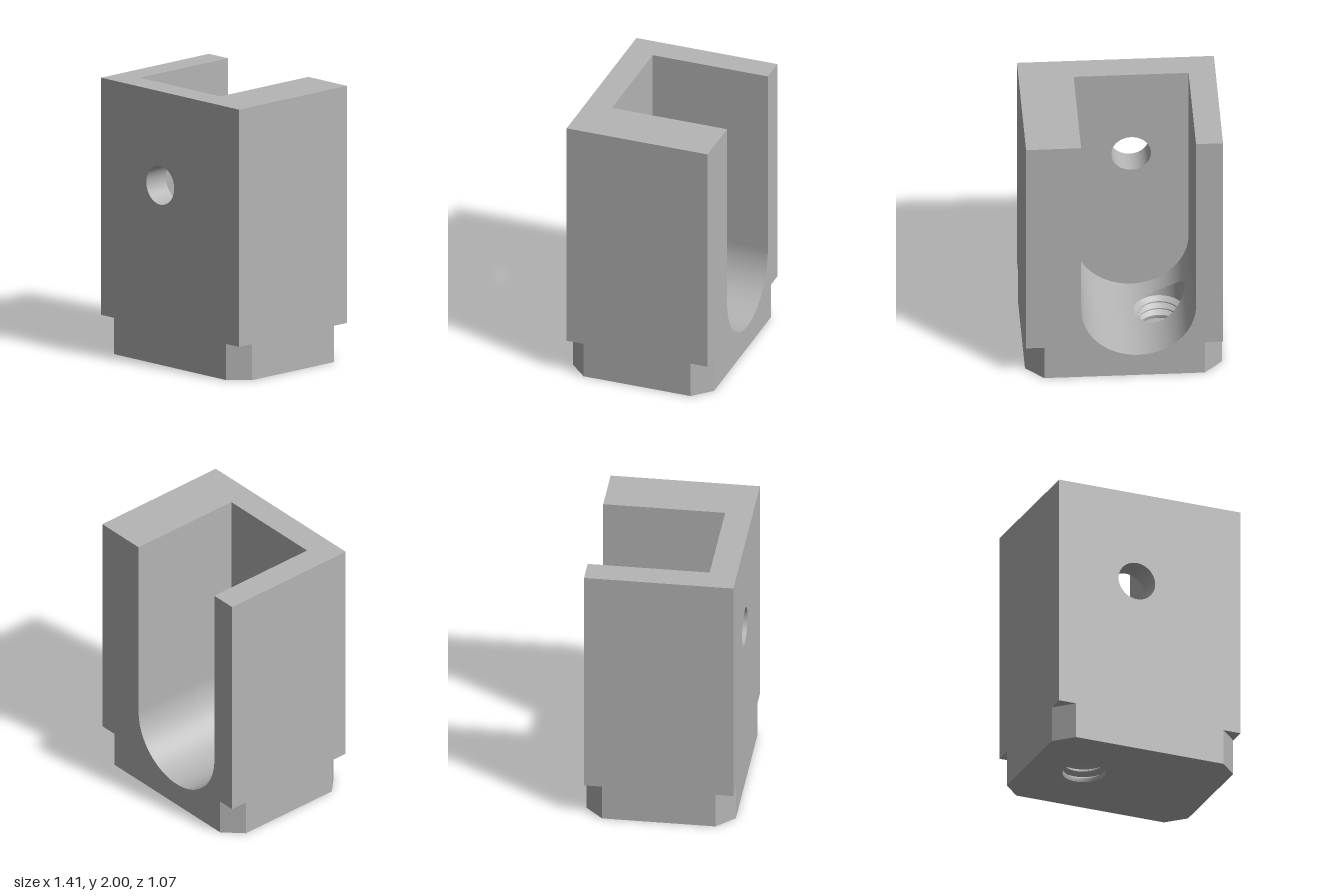
import * as THREE from 'three';
import { toCreasedNormals } from 'three/addons/utils/BufferGeometryUtils.js';

// Overall block
const W = 0.703, D = 0.537, H = 2;
const CUT = 0.13, CUT_H = 0.265;                 // corner notches at the foot
const SX = -0.1, SR = 0.41, SY = 0.585, SZ = 0.34; // round-bottomed slot
const BX = -0.28, BR = 0.185, B_MINOR = 0.147;   // threaded bore
const SEAT = SY - SR;                            // height of the bore's upper rim
const SEG = 48;

const floorY = x => SY - Math.sqrt(Math.max(0, SR * SR - (x - SX) ** 2));

function rectShape(x0, y0, x1, y1) {
  return new THREE.Shape([[x0, y0], [x1, y0], [x1, y1], [x0, y1]].map(p => new THREE.Vector2(...p)));
}

function circleHole(x, y, r) {
  return new THREE.Path().absarc(x, y, r, 0, Math.PI * 2, true);
}

function meshGeometry(positions, indices) {
  const g = new THREE.BufferGeometry();
  g.setAttribute('position', new THREE.Float32BufferAttribute(positions, 3));
  g.setIndex(indices);
  g.computeVertexNormals();
  return g;
}

// Curved slot floor, made of columns that stop at the rim of the bore
function slotFloorGeometry() {
  const xs = [];
  for (let i = 0; i <= 64; i++) {
    const x = SX - SR * Math.cos(Math.PI * i / 64);
    if (Math.abs(x - BX) > BR + 0.002) xs.push(x);
  }
  for (let i = 0; i <= SEG / 2; i++) xs.push(BX - BR * Math.cos(Math.PI * 2 * i / SEG));
  xs.sort((a, b) => a - b);

  const pos = [], idx = [];
  xs.forEach((x, i) => {
    const half = Math.sqrt(Math.max(0, BR * BR - (x - BX) ** 2));
    for (const z of [-D, -half, half, SZ]) pos.push(x, floorY(x), z);
    if (i === 0) return;
    for (const k of [0, 2]) {
      const a = (i - 1) * 4 + k, c = i * 4 + k;
      idx.push(a, a + 1, c, a + 1, c + 1, c);
    }
  });
  return meshGeometry(pos, idx);
}

// Plain wall of the bore between its thread and the curved floor
function boreRimGeometry() {
  const pos = [], idx = [];
  for (let i = 0; i <= SEG; i++) {
    const t = Math.PI * 2 * i / SEG;
    const x = BX + BR * Math.cos(t), z = BR * Math.sin(t);
    pos.push(x, SEAT, z, x, Math.max(SEAT, floorY(x)), z);
    if (i < SEG) {
      const a = i * 2;
      idx.push(a, a + 2, a + 1, a + 2, a + 3, a + 1);
    }
  }
  return meshGeometry(pos, idx);
}

// Ridged thread, listed from top to bottom so that it faces inward
function threadGeometry() {
  const profile = [
    [BR, SEAT], [B_MINOR, 0.15], [B_MINOR, 0.14], [BR, 0.115], [B_MINOR, 0.09],
    [B_MINOR, 0.08], [BR, 0.055], [B_MINOR, 0.03], [B_MINOR, 0.02], [0.153, 0],
  ].map(p => new THREE.Vector2(...p));
  return toCreasedNormals(new THREE.LatheGeometry(profile, SEG), 0.4);
}

export function createModel() {
  const group = new THREE.Group();
  const grey = new THREE.MeshStandardMaterial({ color: 0xb5b5b5 });
  grey.name = 'machinedGrey';

  function add(name, geometry) {
    const mesh = new THREE.Mesh(geometry, grey);
    mesh.name = name;
    group.add(mesh);
    return mesh;
  }
  function block(name, x0, x1, y0, y1, z0, z1) {
    add(name, new THREE.BoxGeometry(x1 - x0, y1 - y0, z1 - z0))
      .position.set((x0 + x1) / 2, (y0 + y1) / 2, (z0 + z1) / 2);
  }

  // Front plate with its round cross hole
  const plate = rectShape(-W, CUT_H, W, H);
  plate.holes.push(circleHole(SX, 1.313, 0.142));
  const plateGeo = new THREE.ExtrudeGeometry(plate, { depth: D - SZ, bevelEnabled: false, curveSegments: 32 });
  add('frontPlate', toCreasedNormals(plateGeo, 0.5)).position.z = SZ;

  // Upright walls either side of the slot
  const inner = W - CUT;
  block('leftWall', SX + SR, W, SY, H, -D, SZ);
  block('rightWall', -W, SX - SR, SY, H, -D, SZ);

  // Lower body: side bands, notched feet and front skirt
  block('frontSkirt', -inner, inner, 0, CUT_H, SZ, D);
  for (const s of [1, -1]) {
    const side = s > 0 ? 'left' : 'right';
    block(side + 'Band', s > 0 ? inner : -W, s > 0 ? W : -inner, CUT_H, SY, -D, SZ);
    const foot = new THREE.Shape([
      [s * inner, -D], [s * W, -D + CUT], [s * W, D - CUT], [s * inner, D],
    ].map(p => new THREE.Vector2(...p)));
    const footGeo = new THREE.ExtrudeGeometry(foot, { depth: CUT_H, bevelEnabled: false });
    footGeo.rotateX(-Math.PI / 2);
    add(side + 'NotchedFoot', footGeo);
  }

  // Back face under the round slot end
  const back = new THREE.Shape();
  back.moveTo(-inner, 0).lineTo(inner, 0).lineTo(inner, SY).lineTo(SX + SR, SY);
  back.absarc(SX, SY, SR, 0, -Math.PI, true);
  back.lineTo(-inner, SY);
  const backGeo = new THREE.ExtrudeGeometry(back, { depth: 0.004, bevelEnabled: false, curveSegments: 64 });
  add('backFace', backGeo).position.z = -D;

  // Underside with the bore opening
  const under = rectShape(-inner, -D, inner, D);
  under.holes.push(circleHole(BX, 0, 0.153));
  const underGeo = new THREE.ShapeGeometry(under, SEG / 2);
  underGeo.rotateX(Math.PI / 2);
  add('underside', underGeo);

  // Slot floor and threaded bore
  add('slotFloor', slotFloorGeometry());
  add('boreRim', boreRimGeometry());
  add('boreThread', threadGeometry()).position.x = BX;

  return group;
}
